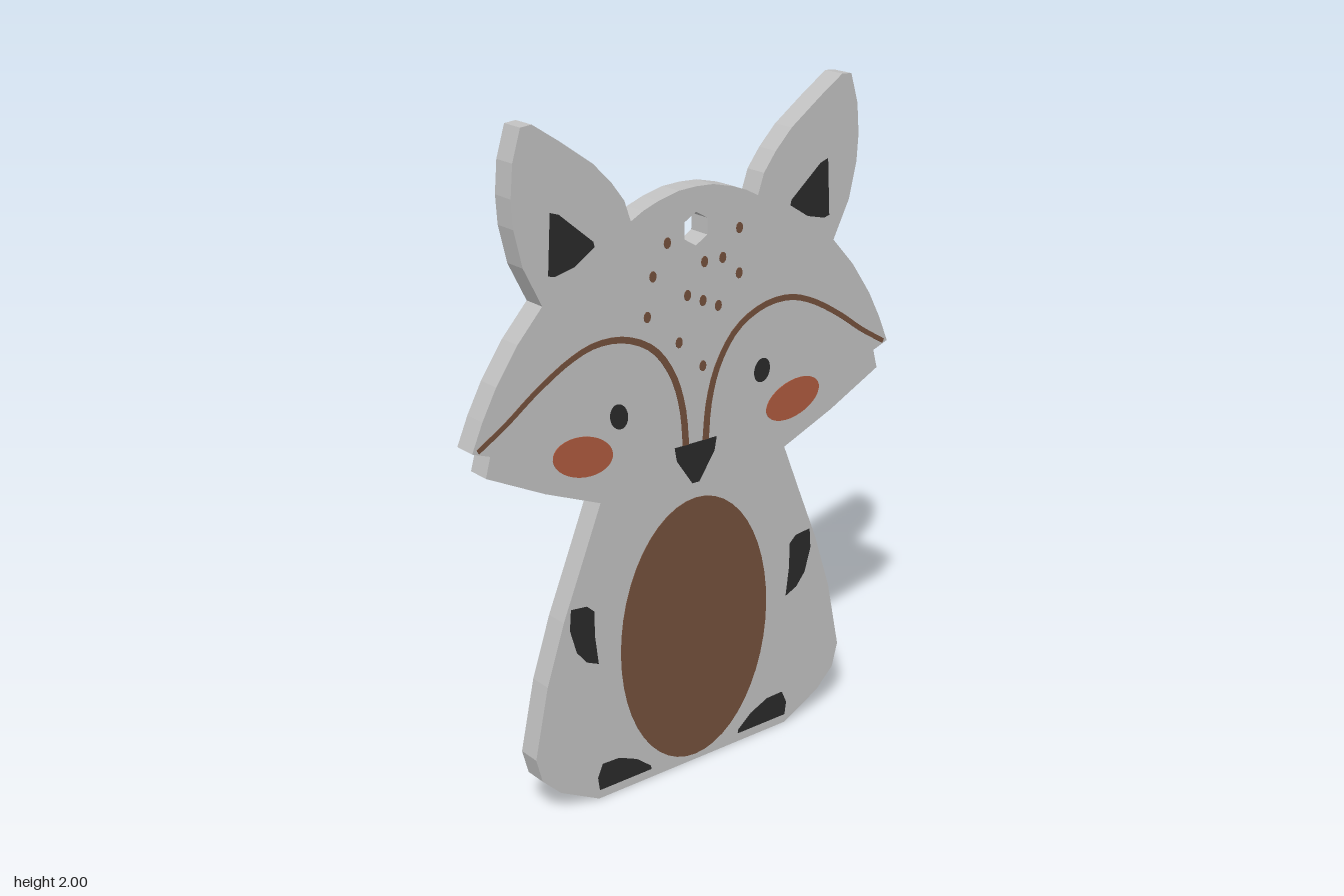
import * as THREE from 'three';

const THICK = 0.07, PAINT = 0.004;

const material = (name, color) => {
  const m = new THREE.MeshStandardMaterial({ color });
  m.name = name;
  return m;
};

const toShape = (pts) => new THREE.Shape(pts.map(([x, y]) => new THREE.Vector2(x, y)));
const mirror = (pts) => pts.map(([x, y]) => [-x, y]);

// Tilted oval outline
function oval(cx, cy, rx, ry, tilt = 0, n = 32) {
  const pts = [];
  for (let i = 0; i < n; i++) {
    const a = (i / n) * Math.PI * 2, x = rx * Math.cos(a), y = ry * Math.sin(a);
    pts.push([cx + x * Math.cos(tilt) - y * Math.sin(tilt), cy + x * Math.sin(tilt) + y * Math.cos(tilt)]);
  }
  return pts;
}

// Closed outline of a tapering stroke along a curve
function stroke(path, w0, w1) {
  const curve = new THREE.SplineCurve(path.map(([x, y]) => new THREE.Vector2(x, y)));
  const a = [], b = [], n = 28;
  for (let i = 0; i <= n; i++) {
    const p = curve.getPoint(i / n), t = curve.getTangent(i / n);
    const h = (w0 + (w1 - w0) * i / n) / 2;
    a.push([p.x - t.y * h, p.y + t.x * h]);
    b.unshift([p.x + t.y * h, p.y - t.x * h]);
  }
  return a.concat(b);
}

export function createModel() {
  const grey = material('grey body', 0xc0c0c0);
  const brown = material('brown', 0x734f3b);
  const rust = material('rust cheek', 0xad5a3e);
  const black = material('black', 0x2a2a2a);

  const model = new THREE.Group();
  const tag = new THREE.Group();
  tag.name = 'animalTag';
  tag.rotation.y = THREE.MathUtils.degToRad(25);
  model.add(tag);

  // Plate: one half of the silhouette, top to bottom, then mirrored
  const half = [
    [0.06, 1.757], [0.13, 1.74], [0.18, 1.722], [0.222, 1.7],
    [0.243, 1.76], [0.285, 1.815], [0.343, 1.873], [0.45, 1.948], [0.53, 2.0], [0.565, 1.997],
    [0.592, 1.91], [0.6, 1.82], [0.595, 1.74], [0.57, 1.635], [0.513, 1.523],
    [0.594, 1.435], [0.664, 1.335], [0.71, 1.25], [0.745, 1.17],
    [0.69, 1.15], [0.706, 1.092], [0.52, 1.0], [0.337, 0.925],
    [0.4, 0.77], [0.47, 0.6], [0.53, 0.42], [0.576, 0.205],
    [0.556, 0.13], [0.494, 0.07], [0.36, 0],
  ];
  const outline = toShape([[0, 1.76], ...half, ...mirror(half).reverse()]);
  outline.holes.push(new THREE.Path(
    oval(0, 1.643, 0.047, 0.047, Math.PI / 6, 6).map(([x, y]) => new THREE.Vector2(x, y))));
  const plate = new THREE.Mesh(
    new THREE.ExtrudeGeometry(outline, { depth: THICK, bevelEnabled: false }), grey);
  plate.position.z = -THICK / 2;
  plate.name = 'bodyPlate';
  tag.add(plate);

  // Painted details appear on both faces of the plate
  function paint(name, pts, mat) {
    const geo = new THREE.ExtrudeGeometry(toShape(pts), { depth: PAINT, bevelEnabled: false });
    for (const side of [1, -1]) {
      const mesh = new THREE.Mesh(geo, mat);
      mesh.name = name + (side > 0 ? 'Front' : 'Back');
      mesh.position.z = side * THICK / 2 - PAINT / 2;
      tag.add(mesh);
    }
  }
  function paintPair(name, pts, mat) {
    paint(name + 'Left', pts, mat);
    paint(name + 'Right', mirror(pts), mat);
  }

  // Belly and nose
  paint('belly', oval(0, 0.436, 0.274, 0.417, 0, 48), brown);
  paint('nose', [[-0.076, 1.022], [0.076, 1.022], [0.068, 0.98], [0.012, 0.9], [-0.012, 0.9], [-0.068, 0.98]], black);

  // Ears, arms and feet
  paintPair('innerEar', [[0.455, 1.757], [0.482, 1.766], [0.492, 1.6], [0.472, 1.595], [0.41, 1.61], [0.343, 1.652], [0.347, 1.667]], black);
  paintPair('arm', [[0.366, 0.605], [0.39, 0.627], [0.445, 0.633], [0.45, 0.57], [0.428, 0.495], [0.395, 0.455], [0.354, 0.437], [0.366, 0.53]], black);
  paintPair('foot', [[0.168, 0.028], [0.357, 0.028], [0.363, 0.07], [0.345, 0.11], [0.285, 0.108], [0.22, 0.08], [0.17, 0.04]], black);

  // Eyes and cheeks, slightly uneven like hand painting
  paint('eyeLeft', oval(0.245, 1.184, 0.029, 0.036, -0.2), black);
  paint('eyeRight', oval(-0.27, 1.162, 0.029, 0.038, 0.35), black);
  paint('cheekLeft', oval(0.366, 1.07, 0.104, 0.058, 0.2), rust);
  paint('cheekRight', oval(-0.393, 1.075, 0.102, 0.058, -0.24), rust);

  // Arched face lines from nose to cheek tips
  paintPair('faceLine', stroke([
    [0.036, 1.02], [0.047, 1.13], [0.08, 1.235], [0.145, 1.325], [0.24, 1.375],
    [0.343, 1.383], [0.44, 1.352], [0.547, 1.29], [0.635, 1.228], [0.728, 1.172],
  ], 0.022, 0.014), brown);

  // Forehead freckles
  const freckles = [
    [-0.15, 1.535], [0.03, 1.545], [-0.17, 1.425], [0.025, 1.435], [-0.1, 1.62], [0.155, 1.62],
    [0.155, 1.49], [0.08, 1.41], [-0.06, 1.33], [0.025, 1.245], [-0.03, 1.46], [0.095, 1.545],
  ];
  freckles.forEach(([x, y], i) => paint('freckle' + (i + 1), oval(x, y, 0.012, 0.016, 0, 10), brown));

  return model;
}
